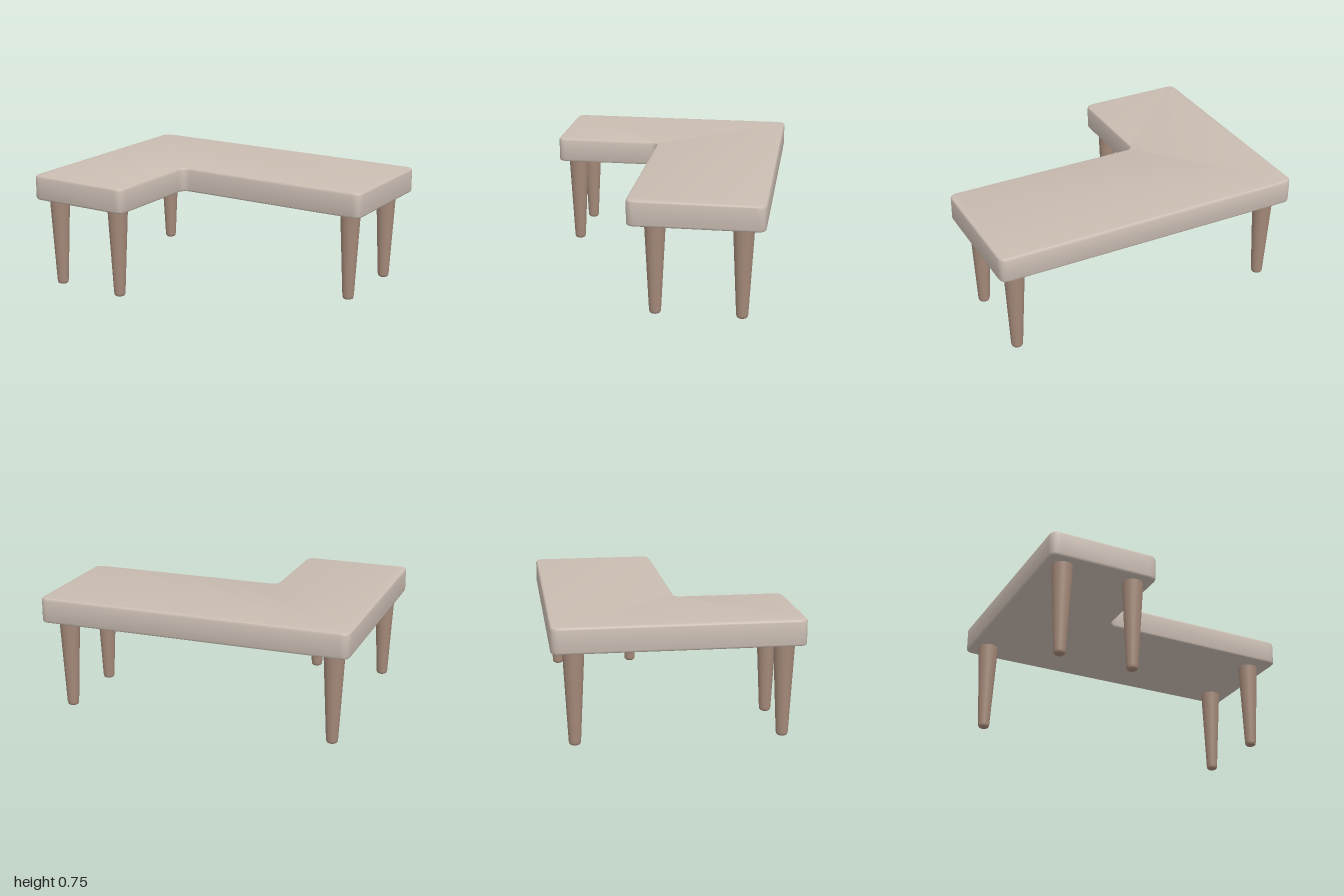
import * as THREE from 'three';
import { toCreasedNormals } from 'three/addons/utils/BufferGeometryUtils.js';

const TOP_Y = 0.745, UNDER_Y = 0.585, BEVEL = 0.014, CORNER = 0.055;

// Closed outline with every corner rounded by the same radius
function roundedOutline(corners, radius) {
  const points = corners.map(([x, y]) => new THREE.Vector2(x, y));
  const shape = new THREE.Shape();
  points.forEach((p, i) => {
    const prev = points[(i + points.length - 1) % points.length];
    const next = points[(i + 1) % points.length];
    const a = prev.clone().sub(p).setLength(radius).add(p);
    const b = next.clone().sub(p).setLength(radius).add(p);
    if (i === 0) shape.moveTo(a.x, a.y);
    else shape.lineTo(a.x, a.y);
    shape.quadraticCurveTo(p.x, p.y, b.x, b.y);
  });
  shape.closePath();
  return shape;
}

export function createModel() {
  const topMaterial = new THREE.MeshStandardMaterial({ name: 'paleTaupe', color: 0xcabdb2 });
  const legMaterial = new THREE.MeshStandardMaterial({ name: 'brownWood', color: 0xa58a7a });
  const model = new THREE.Group();
  model.name = 'cornerTable';

  // L-shaped top with softened edges, drawn in x and z
  const outline = roundedOutline([
    [-1, -0.757], [1, -0.757], [1, 0.065], [-0.295, 0.065], [-0.295, 0.757], [-1, 0.757],
  ], CORNER);
  const slab = new THREE.ExtrudeGeometry(outline, {
    depth: TOP_Y - UNDER_Y - 2 * BEVEL,
    bevelThickness: BEVEL,
    bevelSize: BEVEL,
    bevelOffset: -BEVEL,
    bevelSegments: 3,
    curveSegments: 6,
  });
  slab.rotateX(Math.PI / 2);
  slab.translate(0, TOP_Y - BEVEL, 0);
  const top = new THREE.Mesh(toCreasedNormals(slab, 0.7), topMaterial);
  top.name = 'tableTop';
  model.add(top);

  // Tapered round legs with rounded feet
  const profile = [
    [0, 0], [0.024, 0], [0.031, 0.004], [0.035, 0.011], [0.037, 0.024], [0.066, UNDER_Y + 0.01],
  ].map(([r, y]) => new THREE.Vector2(r, y));
  const legGeometry = new THREE.LatheGeometry(profile, 24);
  const legs = {
    frontRightLeg: [-0.88, 0.638],
    frontInnerLeg: [-0.41, 0.638],
    backRightLeg: [-0.88, -0.62],
    backLeftLeg: [0.865, -0.62],
    middleLeftLeg: [0.865, -0.093],
  };
  for (const [name, [x, z]] of Object.entries(legs)) {
    const leg = new THREE.Mesh(legGeometry, legMaterial);
    leg.name = name;
    leg.position.set(x, 0, z);
    model.add(leg);
  }
  return model;
}
